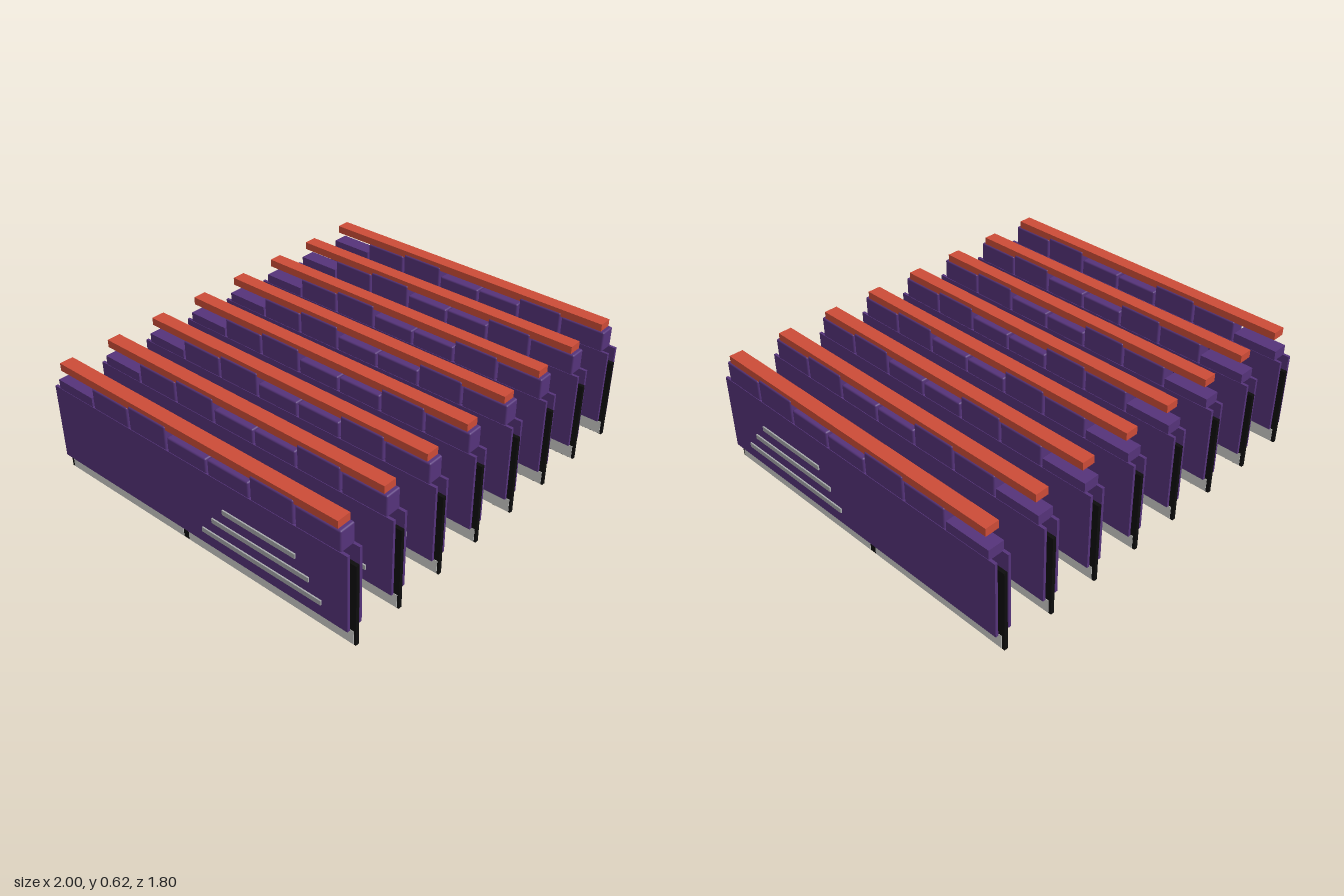
import * as THREE from 'three';
import { RoundedBoxGeometry } from 'three/addons/geometries/RoundedBoxGeometry.js';

const mat = (name, color) => {
  const m = new THREE.MeshStandardMaterial({ color });
  m.name = name;
  return m;
};

export function createModel() {
  const purple = mat('purple metal', 0x55337a);
  const black = mat('black board', 0x0d0d0d);
  const red = mat('red light bar', 0xcc4c37);
  const silver = mat('silver stripe', 0xa8aaac);
  const pale = mat('pale contacts', 0xcdcecb);

  // Box given by its extents along each axis
  const box = (parent, name, material, [x0, x1], [y0, y1], [z0, z1], bevel = 0) => {
    const s = [x1 - x0, y1 - y0, z1 - z0];
    const geo = bevel ? new RoundedBoxGeometry(...s, 2, bevel) : new THREE.BoxGeometry(...s);
    const mesh = new THREE.Mesh(geo, material);
    mesh.name = name;
    mesh.position.set((x0 + x1) / 2, (y0 + y1) / 2, (z0 + z1) / 2);
    parent.add(mesh);
  };
  // Extents on one side, mirrored in x
  const mirrored = (side, a, b) => (side > 0 ? [a, b] : [-b, -a]);

  const finTops = [0.585, 0.6, 0.56, 0.555, 0.6, 0.585, 0.53]; // front to back
  const stripes = [[0.33, 0.205, 0.615], [0.248, 0.135, 0.685], [0.165, 0.07, 0.75]]; // y, z range

  const buildStick = () => {
    const stick = new THREE.Group();
    box(stick, 'circuitBoard', black, [-0.009, 0.009], [0, 0.42], [-0.9, 0.9]);

    for (const side of [1, -1]) {
      // Edge contacts either side of the key notch
      for (const z of [[-0.07, 0.89], [-0.885, -0.105]])
        box(stick, 'contacts', pale, mirrored(side, 0.009, 0.011), [0.002, 0.072], z);

      // Two rows of memory chips
      for (let i = 0; i < 8; i++) {
        const z = -0.77 + i * 0.22;
        box(stick, 'chip', black, mirrored(side, 0.009, 0.019), [0.11, 0.21], [z - 0.08, z + 0.08]);
        box(stick, 'chip', black, mirrored(side, 0.009, 0.021), [0.26, 0.345], [z - 0.08, z + 0.08]);
      }

      // Heat spreader plate with raised stripes
      box(stick, 'heatSpreader', purple, mirrored(side, 0.029, 0.043), [0.09, 0.483], [-0.885, 0.885]);
      for (const [y, z0, z1] of stripes)
        box(stick, 'stripe', silver, mirrored(side, 0.043, 0.05), [y - 0.012, y + 0.012], [z0, z1]);
    }

    // Crown of stepped fins; the rear one is low and square-edged
    finTops.forEach((top, i) => {
      const z1 = 0.85 - i * 0.2443;
      box(stick, 'fin', purple, [-0.041, 0.041], [0.478, top], [z1 - 0.2343, z1], i < 6 ? 0.008 : 0);
    });

    box(stick, 'lightBar', red, [-0.035, 0.035], [0.583, 0.622], [-0.83, 0.83]);
    return stick;
  };

  // Row of eight identical sticks
  const model = new THREE.Group();
  model.name = 'memorySticks';
  const first = buildStick();
  for (let i = 0; i < 8; i++) {
    const stick = i ? first.clone() : first;
    stick.name = 'memoryStick' + (i + 1);
    stick.position.x = -0.95 + (i * 1.9) / 7;
    model.add(stick);
  }
  return model;
}
